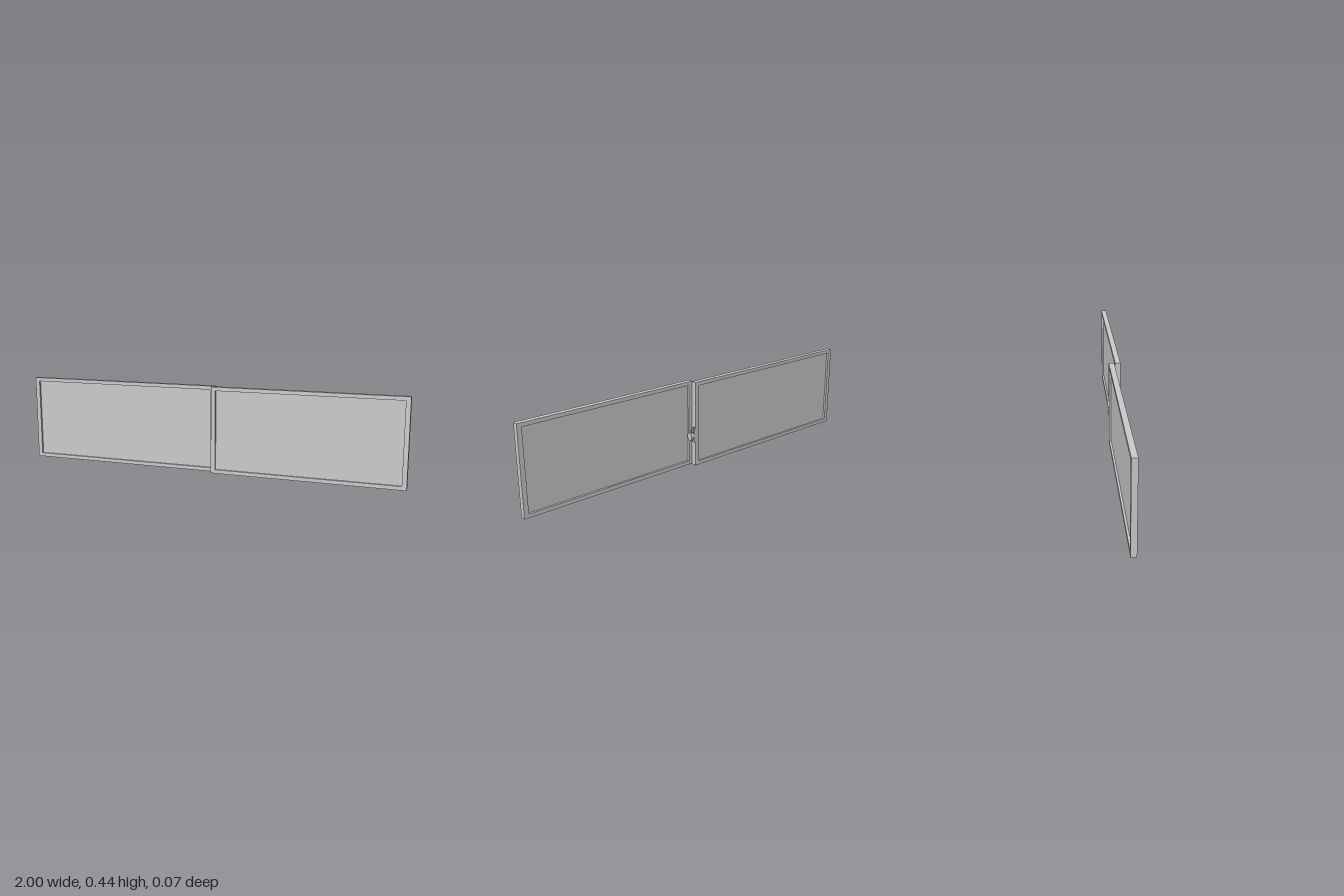
import * as THREE from 'three';

const grey = new THREE.MeshStandardMaterial({ color: 0xcccccc, flatShading: true });
const HEIGHT = 0.44;
const BORDER = { x: 0.023, y: 0.019 };
const DEPTH = 0.027;

function add(parent, name, geometry, x = 0, y = 0, z = 0) {
  const mesh = new THREE.Mesh(geometry, grey);
  mesh.name = name;
  mesh.position.set(x, y, z);
  parent.add(mesh);
  return mesh;
}

// Rectangle outline, counter-clockwise
function rectangle(w, h, Type) {
  const x = w / 2, y = h / 2;
  return new Type([[-x, -y], [x, -y], [x, y], [-x, y]].map(p => new THREE.Vector2(...p)));
}

// Sliding sash: a border frame around a thin recessed pane
function sash(name, x0, x1, z) {
  const group = new THREE.Group();
  group.name = name;
  const w = x1 - x0;
  const iw = w - 2 * BORDER.x, ih = HEIGHT - 2 * BORDER.y;
  const outline = rectangle(w, HEIGHT, THREE.Shape);
  outline.holes.push(rectangle(iw, ih, THREE.Path));
  add(group, 'frame', new THREE.ExtrudeGeometry(outline, { depth: DEPTH, bevelEnabled: false }), 0, 0, -DEPTH / 2);
  add(group, 'pane', new THREE.BoxGeometry(iw, ih, 0.006));
  group.position.set((x0 + x1) / 2, HEIGHT / 2, z);
  return group;
}

// Side profile given as [z, y] points, extruded along x
function sideProfile(points, x0, x1) {
  const shape = new THREE.Shape(points.map(([z, y]) => new THREE.Vector2(-z, y)));
  return new THREE.ExtrudeGeometry(shape, { depth: x1 - x0, bevelEnabled: false })
    .rotateY(Math.PI / 2).translate(x0, 0, 0);
}

// Cam latch fixed to the end of the rear sash
function latch() {
  const group = new THREE.Group();
  group.name = 'latch';
  add(group, 'mountingPlate', new THREE.BoxGeometry(0.005, 0.075, 0.022), 0.0465, 0.1625, -0.0135);
  for (const y of [0.143, 0.182]) {
    add(group, 'bracketEar', new THREE.BoxGeometry(0.012, 0.005, 0.02), 0.054, y, -0.0135);
  }
  add(group, 'pivot', new THREE.CylinderGeometry(0.012, 0.012, 0.016, 16).rotateZ(Math.PI / 2), 0.055, 0.161, -0.014);
  // Cam body with rounded rear edge
  add(group, 'cam', sideProfile([
    [-0.002, 0.15], [-0.008, 0.142], [-0.022, 0.14], [-0.027, 0.15], [-0.029, 0.16],
    [-0.027, 0.172], [-0.022, 0.18], [-0.012, 0.178], [-0.002, 0.17],
  ], 0.056, 0.074));
  // Thumb lever sweeping up and back
  add(group, 'lever', sideProfile([
    [-0.004, 0.17], [-0.02, 0.176], [-0.028, 0.186], [-0.033, 0.213],
    [-0.03, 0.213], [-0.024, 0.188], [-0.017, 0.182], [-0.004, 0.176],
  ], 0.058, 0.075));
  // Striker tongue reaching the front sash
  add(group, 'tongue', new THREE.BoxGeometry(0.012, 0.017, 0.012), 0.065, 0.16, 0.001);
  return group;
}

export function createModel() {
  const model = new THREE.Group();
  model.name = 'slidingWindow';
  model.add(
    sash('rearSash', -1, 0.044, -0.012),
    sash('frontSash', 0.035, 1, 0.0205),
    latch(),
  );
  return model;
}
